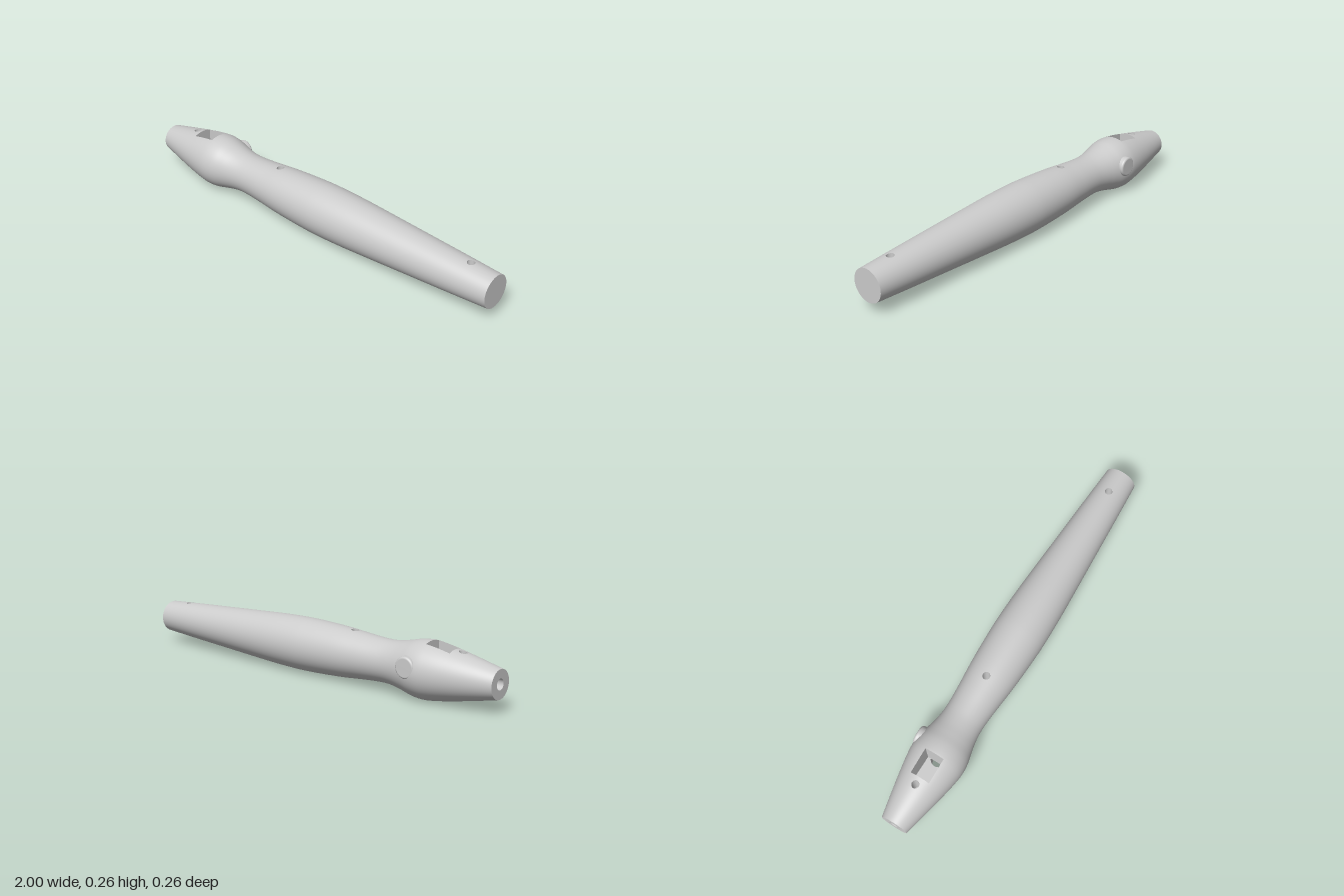
import * as THREE from 'three';

const CY = 0.1325;   // height of the long axis
const N = 96;        // segments around the body
const STEP = 0.01;   // station spacing along the body
const FLOOR = 0.1;   // depth where the cavities meet

// Radius of the turned body along x
const XS = [-1, -0.9, -0.8, -0.7, -0.65, -0.6, -0.55, -0.5, -0.45, -0.4, -0.3, -0.2, -0.1, 0, 0.05, 0.2, 0.4, 0.6, 0.8, 1];
const RS = [0.065, 0.087, 0.108, 0.126, 0.131, 0.127, 0.115, 0.104, 0.098, 0.098, 0.105, 0.114, 0.12, 0.124, 0.125, 0.122, 0.112, 0.101, 0.09, 0.078];
const profile = new THREE.CubicInterpolant(XS, RS, 1);
const radius = (x) => profile.evaluate(x)[0];

// Openings: window x0..x1 and +-span grid steps, centred on the top or bottom
const screw = (x0, x1) => [
  { name: 'screwHoleTop', x0, x1, span: 6, r: 0.018 },
  { name: 'screwHoleBottom', x0, x1, span: 5, r: 0.013, bottom: true },
];
const OPENINGS = [
  ...screw(-0.84, -0.79), ...screw(-0.26, -0.21), ...screw(0.84, 0.9),
  { name: 'pocketWalls', x0: -0.79, x1: -0.65, span: 9, hx: 0.06, hz: 0.047 },
  { name: 'sensorHole', x0: -0.69, x1: -0.6, span: 8, r: 0.036, bottom: true },
  { name: 'blindHole', x0: -0.58, x1: -0.49, span: 8, r: 0.036, bottom: true },
];

const grey = new THREE.MeshStandardMaterial({ color: 0xcccccc });
const inside = new THREE.MeshStandardMaterial({ color: 0xcccccc, side: THREE.DoubleSide });

function add(group, name, geometry, material = grey) {
  const mesh = new THREE.Mesh(geometry, material);
  mesh.name = name;
  group.add(mesh);
  return mesh;
}

function makeGeometry(pos, index) {
  const g = new THREE.BufferGeometry();
  g.setAttribute('position', new THREE.Float32BufferAttribute(pos, 3));
  if (index) g.setIndex(index);
  g.computeVertexNormals();
  return g;
}

// Turned skin with openings; returns the rim outline of each opening
function buildSkin(group) {
  const pos = [], index = [];
  const point = (x, a) => {
    const r = radius(x);
    pos.push(x, CY + r * Math.cos(a), r * Math.sin(a));
    return pos.length / 3 - 1;
  };
  const count = Math.round(2 / STEP);
  const da = (Math.PI * 2) / N;
  const id = (i, j) => i * N + ((j % N) + N) % N;
  for (let i = 0; i <= count; i++) for (let j = 0; j < N; j++) point(-1 + i * STEP, j * da);

  const windows = OPENINGS.map((o) => ({
    ...o, i0: Math.round((o.x0 + 1) / STEP), i1: Math.round((o.x1 + 1) / STEP), mid: o.bottom ? N / 2 : 0,
  }));
  const cut = (i, j) => windows.some((w) => {
    const d = (((j - w.mid + N / 2) % N) + N) % N - N / 2;
    return i >= w.i0 && i < w.i1 && d >= -w.span && d < w.span;
  });
  for (let i = 0; i < count; i++) for (let j = 0; j < N; j++) {
    if (cut(i, j)) continue;
    const a = id(i, j), b = id(i, j + 1), c = id(i + 1, j), d = id(i + 1, j + 1);
    index.push(a, b, c, b, d, c);
  }

  // Fill each window with rings that blend from its border to the opening
  for (const w of windows) {
    const border = [];
    for (let d = -w.span; d < w.span; d++) border.push([w.i0, d]);
    for (let i = w.i0; i < w.i1; i++) border.push([i, w.span]);
    for (let d = w.span; d > -w.span; d--) border.push([w.i1, d]);
    for (let i = w.i1; i > w.i0; i--) border.push([i, -w.span]);
    const xc = (w.x0 + w.x1) / 2, half = (w.i1 - w.i0) / 2;
    const inner = border.map(([i, d]) => {
      const u = (i - w.i0) / half - 1, v = d / w.span, len = Math.hypot(u, v);
      const x = xc + (w.r ? (w.r * u) / len : w.hx * u);
      return [x, Math.asin((w.r ? (w.r * v) / len : w.hz * v) / radius(x))];
    });
    let ring = border.map(([i, d]) => id(i, w.mid + d));
    for (let s = 1; s <= 4; s++) {
      const t = s / 4;
      const next = border.map(([i, d], k) => point(
        THREE.MathUtils.lerp(-1 + i * STEP, inner[k][0], t),
        w.mid * da + THREE.MathUtils.lerp(d * da, inner[k][1], t)));
      ring.forEach((o, k) => {
        const m = (k + 1) % ring.length;
        index.push(o, ring[m], next[k], ring[m], next[m], next[k]);
      });
      ring = next;
    }
    w.rim = ring.map((k) => pos.slice(k * 3, k * 3 + 3));
  }
  add(group, 'body', makeGeometry(pos, index));
  return windows;
}

// Straight wall from a rim down (or up) to the cavity level
function wall(rim, smooth) {
  const pos = [];
  rim.forEach((p, k) => {
    const q = rim[(k + 1) % rim.length];
    const pe = [p[0], FLOOR, p[2]], qe = [q[0], FLOOR, q[2]];
    pos.push(...p, ...pe, ...q, ...q, ...pe, ...qe);
  });
  if (!smooth) return makeGeometry(pos);
  const n = rim.length, index = [];
  for (let k = 0; k < n; k++) {
    const m = (k + 1) % n;
    index.push(k, k + n, m, m, k + n, m + n);
  }
  return makeGeometry([...rim.flat(), ...rim.flatMap((p) => [p[0], FLOOR, p[2]])], index);
}

export function createModel() {
  const group = new THREE.Group();
  group.name = 'handle';

  // Body skin and the walls of its openings
  for (const w of buildSkin(group)) {
    add(group, w.name, wall(w.rim, !!w.r), inside);
    if (w.name === 'screwHoleTop') {
      const step = add(group, 'screwSeat', new THREE.RingGeometry(0.013, 0.018, 32), inside);
      step.rotation.x = -Math.PI / 2;
      step.position.set((w.x0 + w.x1) / 2, FLOOR, 0);
    }
  }

  // Pocket floor, notched where the sensor hole breaks through
  const hx = -0.645, hr = 0.036, edge = -0.66;
  const a = Math.acos((edge - hx) / hr);
  const floor = new THREE.Shape();
  floor.moveTo(-0.78, -0.047);
  floor.lineTo(edge, -0.047);
  floor.lineTo(edge, -hr * Math.sin(a));
  floor.absarc(hx, 0, hr, -a, a, true);
  floor.lineTo(edge, 0.047);
  floor.lineTo(-0.78, 0.047);
  const lid = new THREE.Shape();
  lid.absarc(hx, 0, hr, -a, a, false);
  for (const [name, shape] of [['pocketFloor', floor], ['sensorHoleEnd', lid]]) {
    const m = add(group, name, new THREE.ShapeGeometry(shape, 24), inside);
    m.rotation.x = -Math.PI / 2;
    m.position.y = FLOOR;
  }
  const end = add(group, 'blindHoleEnd', new THREE.CircleGeometry(0.036, 32), inside);
  end.rotation.x = Math.PI / 2;
  end.position.set(-0.535, FLOOR, 0);

  // End faces and the axial bore
  const butt = add(group, 'buttEnd', new THREE.CircleGeometry(0.078, N));
  butt.rotation.y = Math.PI / 2;
  butt.position.set(1, CY, 0);
  const nose = add(group, 'noseEnd', new THREE.RingGeometry(0.025, 0.065, N));
  nose.rotation.y = -Math.PI / 2;
  nose.position.set(-1, CY, 0);
  const bore = add(group, 'bore', new THREE.CylinderGeometry(0.025, 0.025, 0.16, 40, 1, true), inside);
  bore.rotation.z = Math.PI / 2;
  bore.position.set(-0.92, CY, 0);
  const boreEnd = add(group, 'boreEnd', new THREE.CircleGeometry(0.025, 40), inside);
  boreEnd.rotation.y = -Math.PI / 2;
  boreEnd.position.set(-0.84, CY, 0);

  // Round push button on the back
  const outline = [new THREE.Vector2(0.049, 0), new THREE.Vector2(0.049, 0.051)];
  for (let k = 1; k <= 6; k++) {
    const t = (k / 6) * Math.PI / 2;
    outline.push(new THREE.Vector2(0.039 + 0.01 * Math.cos(t), 0.051 + 0.01 * Math.sin(t)));
  }
  outline.push(new THREE.Vector2(0, 0.061));
  const button = add(group, 'button', new THREE.LatheGeometry(outline, 48));
  button.rotation.x = -Math.PI / 2;
  button.position.set(-0.607, 0.157, -0.07);

  return group;
}
